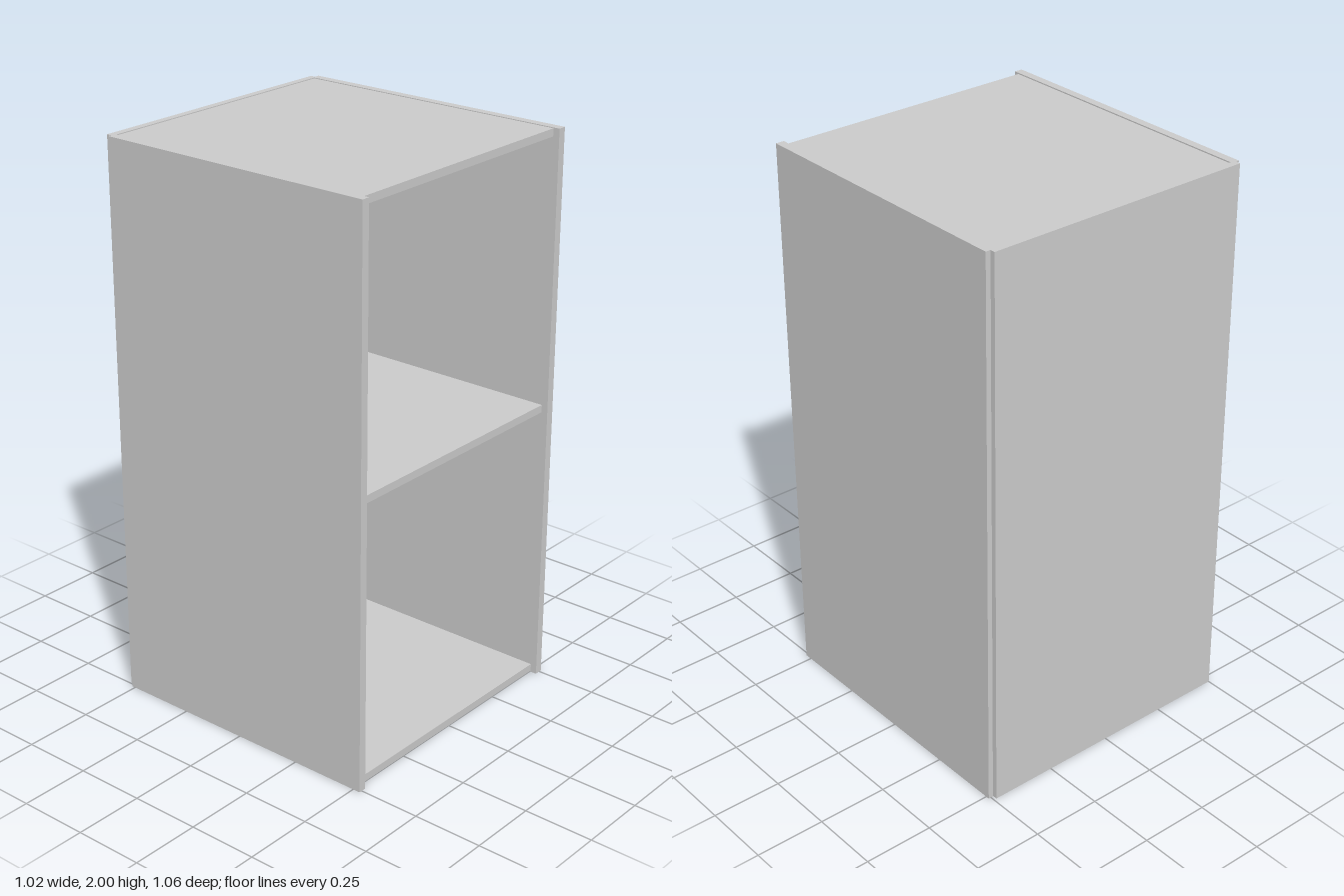
import * as THREE from 'three';

export function createModel() {
  const group = new THREE.Group();
  const material = new THREE.MeshStandardMaterial({ color: 0xcccccc });

  // Adds a board spanning the given [min, max] ranges
  function board(name, [x0, x1], [y0, y1], [z0, z1]) {
    const mesh = new THREE.Mesh(new THREE.BoxGeometry(x1 - x0, y1 - y0, z1 - z0), material);
    mesh.position.set((x0 + x1) / 2, (y0 + y1) / 2, (z0 + z1) / 2);
    mesh.name = name;
    group.add(mesh);
  }

  // Upright panels
  const sideDepth = [-0.513, 0.527];
  board('rightSidePanel', [-0.511, -0.482], [0, 2], sideDepth);
  board('leftSidePanel', [0.479, 0.509], [0, 2], sideDepth);
  board('backPanel', [-0.498, 0.491], [0.002, 2], [-0.531, -0.506]);

  // Horizontal boards, set slightly back from the front edges of the sides
  const shelves = { bottomBoard: 0.005, middleShelf: 1.01, topBoard: 1.971 };
  for (const [name, y] of Object.entries(shelves)) {
    board(name, [-0.478, 0.477], [y, y + 0.027], [-0.503, 0.505]);
  }
  return group;
}
